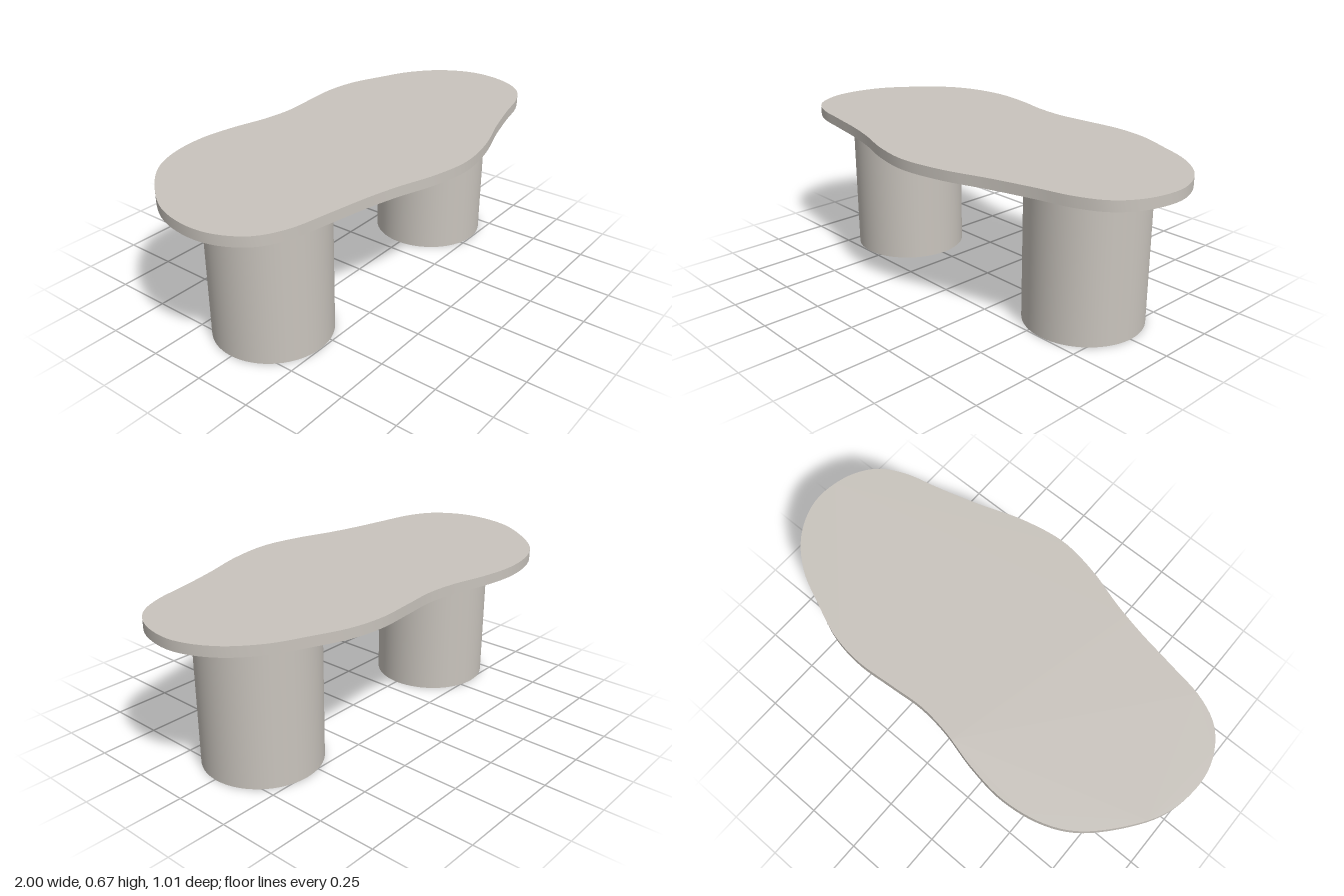
import * as THREE from 'three';
import { toCreasedNormals } from 'three/addons/utils/BufferGeometryUtils.js';

const TOP = 0.672, THICK = 0.044, LEG_HEIGHT = TOP - THICK;

// Freeform tabletop outline as [x, z] control points
const OUTLINE = [
  [-1, 0.02], [-0.97, -0.14], [-0.885, -0.28], [-0.75, -0.42], [-0.62, -0.483],
  [-0.45, -0.508], [-0.28, -0.488], [-0.11, -0.447], [0.03, -0.432], [0.18, -0.443],
  [0.35, -0.454], [0.5, -0.433], [0.65, -0.375], [0.8, -0.305], [0.92, -0.2],
  [0.985, -0.08], [1, 0.02], [0.97, 0.16], [0.9, 0.26], [0.79, 0.32],
  [0.63, 0.36], [0.45, 0.41], [0.25, 0.475], [0.05, 0.504], [-0.13, 0.475],
  [-0.3, 0.42], [-0.45, 0.382], [-0.62, 0.35], [-0.8, 0.312], [-0.91, 0.25], [-0.98, 0.14],
];

export function createModel() {
  const group = new THREE.Group();
  group.name = 'coffeeTable';

  const stone = new THREE.MeshStandardMaterial({ color: 0xc9c4bd });
  stone.name = 'warmGreyStone';

  // Tabletop: smooth closed curve extruded downwards
  const curve = new THREE.CatmullRomCurve3(
    OUTLINE.map(([x, z]) => new THREE.Vector3(x, z, 0)), true);
  const points = curve.getSpacedPoints(160).slice(0, -1)
    .map((p) => new THREE.Vector2(p.x, p.y));
  const slab = new THREE.ExtrudeGeometry(new THREE.Shape(points), {
    depth: THICK, bevelEnabled: false,
  });
  slab.rotateX(Math.PI / 2);
  const tabletop = new THREE.Mesh(toCreasedNormals(slab, Math.PI / 5), stone);
  tabletop.name = 'tabletop';
  tabletop.position.y = TOP;
  group.add(tabletop);

  // Two thick cylindrical legs
  for (const [name, side] of [['leftLeg', 1], ['rightLeg', -1]]) {
    const leg = new THREE.Mesh(
      new THREE.CylinderGeometry(0.255, 0.255, LEG_HEIGHT, 64), stone);
    leg.name = name;
    leg.position.set(side * 0.572, LEG_HEIGHT / 2, -0.007);
    group.add(leg);
  }

  return group;
}
